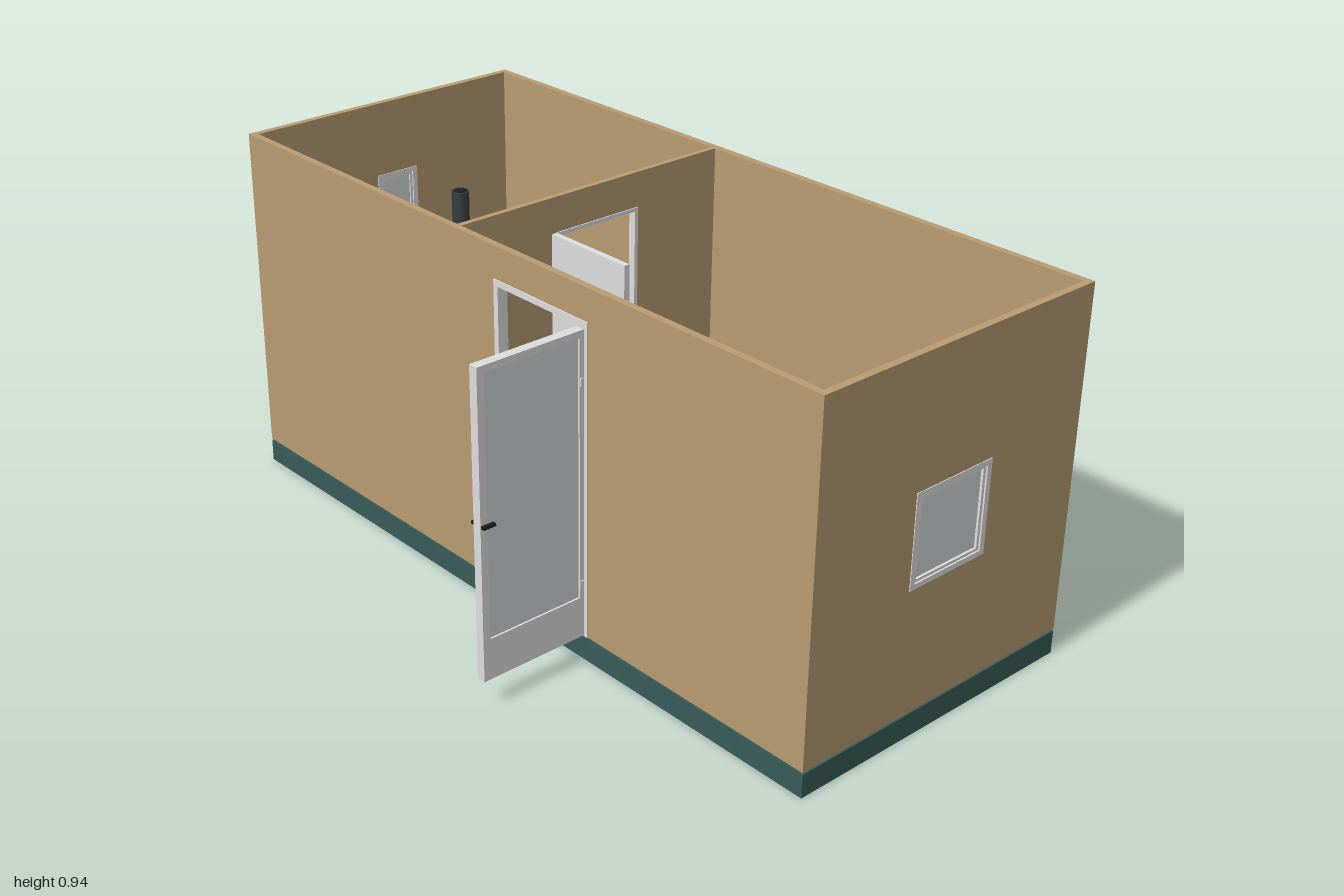
import * as THREE from 'three';
import { RoundedBoxGeometry } from 'three/addons/geometries/RoundedBoxGeometry.js';

const mat = (name, color) => {
  const m = new THREE.MeshStandardMaterial({ color });
  m.name = name;
  return m;
};

export function createModel() {
  const wood = mat('wood', 0xb99c72), white = mat('white paint', 0xdcdedc), green = mat('dark green', 0x375c58);
  const pane = mat('glass', 0xd2d6d8), iron = mat('dark iron', 0x363f42), black = mat('black', 0x1d2022);
  const brass = mat('brass', 0x9c8a50);
  const root = new THREE.Group();
  const group = (name, parent = root) => {
    const g = new THREE.Group();
    g.name = name;
    parent.add(g);
    return g;
  };
  const add = (parent, name, geo, m, x = 0, y = 0, z = 0) => {
    const mesh = new THREE.Mesh(geo, m);
    mesh.name = name;
    mesh.position.set(x, y, z);
    parent.add(mesh);
    return mesh;
  };
  // Box given by its limits on each axis
  const box = (p, name, m, x0, x1, y0, y1, z0, z1) =>
    add(p, name, new THREE.BoxGeometry(x1 - x0, y1 - y0, z1 - z0), m, (x0 + x1) / 2, (y0 + y1) / 2, (z0 + z1) / 2);
  const cyl = (p, name, m, r0, r1, h, x, y, z, n = 20) =>
    add(p, name, new THREE.CylinderGeometry(r0, r1, h, n), m, x, y, z);

  // Upright slab with an optional rectangular opening [u0, u1, y0, y1]
  const slab = (u0, u1, y0, y1, t, hole) => {
    const rect = (T, a, b, c, d) => {
      const s = new T();
      s.moveTo(a, c); s.lineTo(b, c); s.lineTo(b, d); s.lineTo(a, d); s.closePath();
      return s;
    };
    const s = rect(THREE.Shape, u0, u1, y0, y1);
    if (hole) s.holes.push(rect(THREE.Path, ...hole));
    return new THREE.ExtrudeGeometry(s, { depth: t, bevelEnabled: false });
  };
  // Slab in the z-y plane whose +x face lies at x
  const sideSlab = (p, name, m, x, ...args) => add(p, name, slab(...args).rotateY(-Math.PI / 2), m, x);

  const F = 0.065, H = 0.94, T = 0.018, Z0 = -0.57, Z1 = 0.27;

  // Shell
  box(root, 'base', green, -1, 1, 0, 0.06, Z0, Z1);
  box(root, 'floor', wood, -0.995, 0.995, 0.06, F, Z0 + 0.005, Z1 - 0.005);
  box(root, 'floorSeam', iron, -0.14, 0.98, F, F + 0.001, -0.202, -0.198);
  const walls = group('walls');
  add(walls, 'frontWall', slab(-1, 1, F, H, T, [0, 0.32, F + 0.002, 0.86]), wood, 0, 0, Z1 - T);
  add(walls, 'backWall', slab(-1, 1, F, H, T), wood, 0, 0, Z0);
  const winR = [-0.27, -0.03, 0.385, 0.62], winL = [-0.24, -0.11, 0.5, 0.74];
  sideSlab(walls, 'leftWall', wood, 1, Z0 + T, Z1 - T, F, H, T, winR);
  sideSlab(walls, 'rightWall', wood, -1 + T, Z0 + T, Z1 - T, F, H, T, winL);
  sideSlab(walls, 'partition', wood, -0.14, Z0 + T, Z1 - T, F, H, 0.015, [-0.29, -0.03, F + 0.002, 0.85]);

  // Windows: frame, inner sash and pane
  [[winR, 1], [winL, -1]].forEach(([[a, b, c, d], s]) => {
    const g = group('window');
    const x = s > 0 ? 1.002 : -0.98;
    sideSlab(g, 'windowFrame', white, x, a, b, c, d, 0.022, [a + 0.014, b - 0.014, c + 0.013, d - 0.013]);
    sideSlab(g, 'windowSash', white, x - 0.004, a + 0.012, b - 0.012, c + 0.011, d - 0.011, 0.014,
      [a + 0.022, b - 0.022, c + 0.02, d - 0.02]);
    box(g, 'windowPane', pane, s * 0.99 - 0.002, s * 0.99 + 0.002, c + 0.01, d - 0.01, a + 0.01, b - 0.01);
  });

  // Front doorway and its open door
  const entry = group('entrance');
  [0, 0.305].forEach(x => box(entry, 'doorJamb', white, x, x + 0.015, F, 0.86, Z1 - 0.025, Z1 + 0.003));
  box(entry, 'doorHead', white, 0.015, 0.305, 0.845, 0.86, Z1 - 0.025, Z1 + 0.003);
  box(entry, 'threshold', wood, 0.015, 0.305, F, F + 0.006, Z1 - 0.025, Z1 + 0.002);
  const door = group('frontDoor', entry);
  sideSlab(door, 'doorLeaf', white, 0.312, 0.275, 0.567, 0.07, 0.843, 0.024, [0.287, 0.548, 0.175, 0.825]);
  box(door, 'doorPane', pane, 0.293, 0.307, 0.17, 0.83, 0.28, 0.555);
  [0.2, 0.71].forEach(y => box(door, 'hinge', white, 0.286, 0.315, y, y + 0.02, 0.278, 0.286));
  [0.283, 0.317].forEach(x => box(door, 'doorHandle', black, x - 0.005, x + 0.005, 0.461, 0.468, 0.532, 0.566));

  // Inner doorway and its open door
  const inner = group('innerDoorway');
  sideSlab(inner, 'innerFrame', white, -0.137, -0.29, -0.03, F, 0.85, 0.021, [-0.28, -0.04, F + 0.003, 0.84]);
  box(inner, 'innerDoor', white, -0.137, 0.12, F + 0.005, 0.85, -0.03, -0.014);
  [-0.034, -0.01].forEach(z => box(inner, 'innerHandle', brass, 0.085, 0.096, 0.435, 0.495, z - 0.004, z + 0.004));

  // Slatted top with boards along x or z
  const slats = (p, name, x0, x1, y0, y1, z0, z1, n, alongX, gap = 0.005) => {
    const w = ((alongX ? z1 - z0 : x1 - x0) + gap) / n;
    for (let i = 0; i < n; i++) {
      const a = (alongX ? z0 : x0) + i * w, b = a + w - gap;
      if (alongX) box(p, name, wood, x0, x1, y0, y1, a, b);
      else box(p, name, wood, a, b, y0, y1, z0, z1);
    }
  };
  // Slatted seat or table standing on four legs
  const furniture = (name, x0, x1, top, z0, z1, n) => {
    const g = group(name);
    slats(g, 'slat', x0, x1, top - 0.014, top, z0, z1, n, true);
    for (const x of [x0 + 0.008, x1 - 0.026]) {
      for (const z of [z0 + 0.008, z1 - 0.026]) box(g, 'leg', wood, x, x + 0.018, F, top - 0.014, z, z + 0.018);
      box(g, 'crossRail', wood, x, x + 0.018, top - 0.032, top - 0.014, z0 + 0.02, z1 - 0.02);
    }
    for (const z of [z0 + 0.01, z1 - 0.02]) box(g, 'rail', wood, x0 + 0.02, x1 - 0.02, top - 0.03, top - 0.014, z, z + 0.01);
    return g;
  };
  furniture('backBench', 0.22, 0.935, 0.24, -0.548, -0.375, 5);
  furniture('frontBench', 0.4, 0.93, 0.24, 0.07, 0.248, 5);
  furniture('table', 0.4, 0.93, 0.35, -0.29, 0.012, 5);
  [[0.36, -0.46], [0.79, -0.46], [0.505, 0.157]].forEach(([x, z]) =>
    add(root, 'cushion', new RoundedBoxGeometry(0.155, 0.034, 0.13, 4, 0.017), white, x, 0.257, z));

  // Teapot and cups
  const tea = group('teaSet');
  const pot = [[0, 0], [0.024, 0], [0.033, 0.018], [0.028, 0.036], [0.014, 0.046], [0.004, 0.05], [0.006, 0.058], [0, 0.06]];
  add(tea, 'teapot', new THREE.LatheGeometry(pot.map(p => new THREE.Vector2(...p)), 24), white, 0.665, 0.35, -0.152);
  cyl(tea, 'spout', white, 0.004, 0.007, 0.035, 0.7, 0.375, -0.152, 10).rotation.z = -0.8;
  [[0.615, -0.12], [0.708, -0.115]].forEach(([x, z]) => cyl(tea, 'cup', white, 0.012, 0.009, 0.02, x, 0.36, z));

  // Stepped benches of the hot room
  const steam = group('steamBenches');
  slats(steam, 'upperSlat', -0.98, -0.79, 0.405, 0.42, Z0 + T, Z1 - T, 5, false);
  slats(steam, 'lowerSlat', -0.785, -0.605, 0.225, 0.24, Z0 + T, Z1 - T, 4, false);
  for (const z of [-0.53, -0.16, 0.215]) {
    [[-0.98, -0.795, 0.405], [-0.78, -0.61, 0.225]].forEach(([a, b, y]) => {
      box(steam, 'bearer', wood, a, b, y - 0.02, y, z, z + 0.02);
      box(steam, 'post', wood, b - 0.02, b, F, y - 0.02, z, z + 0.02);
    });
  }

  // Duckboards on the floor
  const duck = group('duckboards');
  for (let i = 0; i < 4; i++) {
    const z = -0.55 + i * 0.2;
    slats(duck, 'board', -0.595, -0.385, F + 0.006, F + 0.014, z, z + 0.195, 8, false);
    slats(duck, 'board', -0.38, -0.165, F + 0.006, F + 0.014, z, z + 0.195, 8, false);
    for (const dz of [0.02, 0.16]) box(duck, 'batten', wood, -0.595, -0.165, F, F + 0.006, z + dz, z + dz + 0.015);
  }

  // Stove with stones, chimney and a firebox reaching through the partition
  const stove = group('stove');
  box(stove, 'stoveBody', green, -0.375, -0.205, F + 0.02, 0.38, 0.03, 0.21);
  for (const x of [-0.37, -0.23]) for (const z of [0.035, 0.185]) box(stove, 'stoveFoot', iron, x, x + 0.02, F, F + 0.02, z, z + 0.02);
  const rim = slab(-0.375, -0.205, -0.21, -0.03, 0.02, [-0.36, -0.22, -0.195, -0.045]).rotateX(-Math.PI / 2);
  add(stove, 'stoveRim', rim, green, 0, 0.38, 0);
  for (let i = 0; i < 5; i++) for (let j = 0; j < 5; j++) {
    const s = add(stove, 'stone', new THREE.IcosahedronGeometry(0.017, 0), iron,
      -0.345 + i * 0.0275, 0.388 + ((i * 3 + j * 2) % 4) * 0.003, 0.06 + j * 0.03);
    s.rotation.set(i, j, i + j);
  }
  cyl(stove, 'chimney', iron, 0.021, 0.021, 0.56, -0.32, 0.66, 0.115, 24);
  cyl(stove, 'chimneyMouth', black, 0.016, 0.016, 0.002, -0.32, 0.94, 0.115, 24);
  box(stove, 'firebox', iron, -0.205, -0.13, F + 0.05, 0.25, 0.07, 0.165);
  box(stove, 'fireDoor', black, -0.13, -0.122, F + 0.06, 0.24, 0.065, 0.17);
  box(stove, 'fireHandle', black, -0.122, -0.112, 0.165, 0.19, 0.08, 0.088);

  // Log crate beside the stove
  const crate = group('logCrate');
  box(crate, 'crate', iron, -0.122, -0.052, F, F + 0.06, 0.2, 0.24);
  for (let i = 0; i < 4; i++) cyl(crate, 'log', wood, 0.007, 0.007, 0.036, -0.112 + i * 0.0165, F + 0.063, 0.22, 8).rotation.x = Math.PI / 2;

  // Wash stand with basin
  const wash = group('washStand');
  box(wash, 'standTop', wood, -0.13, 0.045, 0.25, 0.265, -0.53, -0.33);
  for (const x of [-0.125, 0.022]) for (const z of [-0.525, -0.353]) box(wash, 'standLeg', wood, x, x + 0.018, F, 0.25, z, z + 0.018);
  box(wash, 'basin', white, -0.095, 0.005, 0.265, 0.275, -0.48, -0.385);

  // Bucket with hoop handle and ladle on the upper bench
  const pail = group('bucket');
  pail.position.set(-0.86, 0.42, -0.33);
  const side = [[0, 0], [0.033, 0], [0.041, 0.06], [0.037, 0.06], [0.031, 0.006], [0, 0.006]];
  add(pail, 'pail', new THREE.LatheGeometry(side.map(p => new THREE.Vector2(...p)), 20), wood);
  for (const [y, r] of [[0.015, 0.035], [0.045, 0.039]]) add(pail, 'hoop', new THREE.TorusGeometry(r, 0.0025, 6, 24), iron, 0, y).rotation.x = Math.PI / 2;
  add(pail, 'pailHandle', new THREE.TorusGeometry(0.039, 0.0025, 6, 20, Math.PI), iron, 0, 0.058);
  cyl(pail, 'ladleCup', iron, 0.013, 0.01, 0.018, 0.01, 0.04, 0, 14);
  cyl(pail, 'ladleHandle', iron, 0.003, 0.003, 0.085, -0.02, 0.07, 0, 8).rotation.z = 0.9;

  return root;
}
